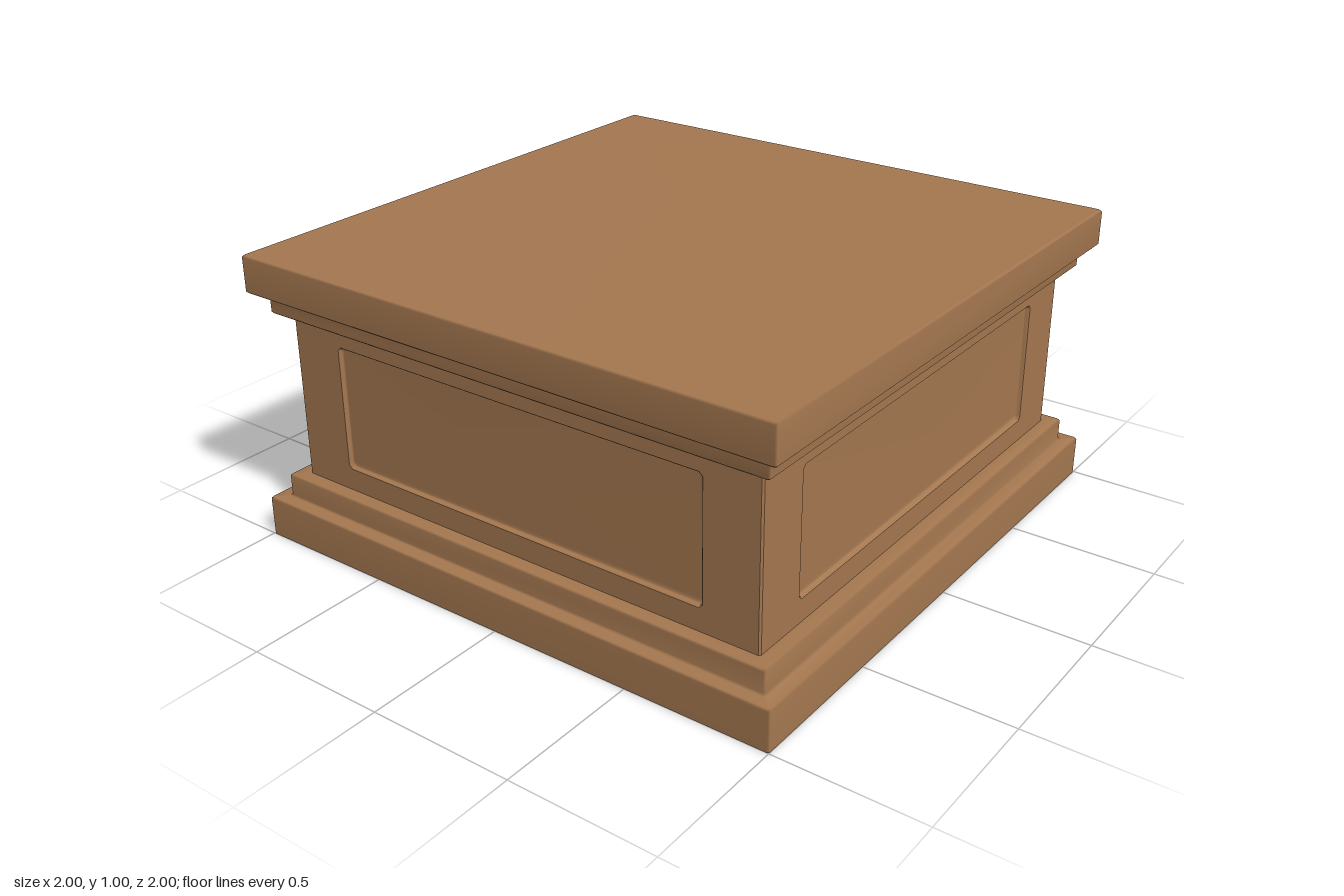
import * as THREE from 'three';

const B = 0.006; // size of the softened edges

// Counter-clockwise rectangle with clipped corners
function clippedRect(w, h, c) {
  return [[w, -h + c], [w, h - c], [w - c, h], [-w + c, h],
    [-w, h - c], [-w, -h + c], [-w + c, -h], [w - c, -h]];
}

// Skin a list of eight-point rings, optionally closing the last one
function loft(rings, { cap = false, cornersOnly = false } = {}) {
  const pos = rings.flat(2), index = [], n = 8;
  for (let r = 0; r < rings.length - 1; r++) {
    for (let i = 0; i < n; i++) {
      if (cornersOnly && i % 2 === 0) continue;
      const a = r * n + i, b = r * n + (i + 1) % n;
      index.push(a, b, b + n, a, b + n, a + n);
    }
  }
  if (cap) {
    const s = (rings.length - 1) * n;
    for (let i = 1; i < n - 1; i++) index.push(s, s + i, s + i + 1);
  }
  const g = new THREE.BufferGeometry();
  g.setAttribute('position', new THREE.Float32BufferAttribute(pos, 3));
  g.setIndex(index);
  g.computeVertexNormals();
  return g;
}

// Bevel the inner corners of a [halfWidth, y] profile
function soften(profile) {
  return profile.flatMap((p, i) => {
    if (i === 0 || i === profile.length - 1) return [p];
    return [profile[i - 1], profile[i + 1]].map((q) => {
      const dx = q[0] - p[0], dy = q[1] - p[1], l = Math.hypot(dx, dy);
      return [p[0] + dx / l * B, p[1] + dy / l * B];
    });
  });
}

const squareRings = (profile) => profile.map(([w, y]) =>
  clippedRect(w, w, B).map(([x, z]) => [x, y, -z]));

export function createModel() {
  const model = new THREE.Group();
  const wood = new THREE.MeshStandardMaterial({ color: 0xa57850, side: THREE.DoubleSide });
  wood.name = 'brown wood';
  const add = (name, geometry, parent = model) => {
    const mesh = new THREE.Mesh(geometry, wood);
    mesh.name = name;
    parent.add(mesh);
  };

  const W = 0.9, Y0 = 0.22, Y1 = 0.8;

  // Stepped plinth, open underneath
  add('baseMoulding', loft(squareRings(soften(
    [[1, 0], [1, 0.14], [0.95, 0.14], [0.95, Y0], [W, Y0]]))));

  // Stepped cornice and closed top slab
  const top = soften([[W, Y1], [0.95, Y1], [0.95, 0.873], [1, 0.873], [1, 1], [0.9, 1]]);
  top.pop();
  add('topMoulding', loft(squareRings(top), { cap: true }));

  // Softened vertical corners of the body
  add('bodyCorners', loft(squareRings([[W, Y0], [W, Y1]]), { cornersOnly: true }));

  // Four walls, each with a recessed panel
  const cy = 0.5125;
  const panelRing = (inset, z) => clippedRect(0.705 - inset, 0.215 - inset, 0.012)
    .map(([x, y]) => [x, y + cy, z]);
  const shape = new THREE.Shape([[-W + B, Y0], [W - B, Y0], [W - B, Y1], [-W + B, Y1]]
    .map(([x, y]) => new THREE.Vector2(x, y)));
  shape.holes.push(new THREE.Path(panelRing(0, 0).map(([x, y]) => new THREE.Vector2(x, y))));
  const frame = new THREE.ShapeGeometry(shape).translate(0, 0, W);
  const panel = loft([panelRing(0, W), panelRing(0.003, W - 0.003), panelRing(0.005, W - 0.013),
    panelRing(0.009, W - 0.016)], { cap: true });
  ['front', 'left', 'back', 'right'].forEach((side, i) => {
    const wall = new THREE.Group();
    wall.name = side + 'Wall';
    wall.rotation.y = i * Math.PI / 2;
    add(side + 'Frame', frame, wall);
    add(side + 'RecessedPanel', panel, wall);
    model.add(wall);
  });
  return model;
}
